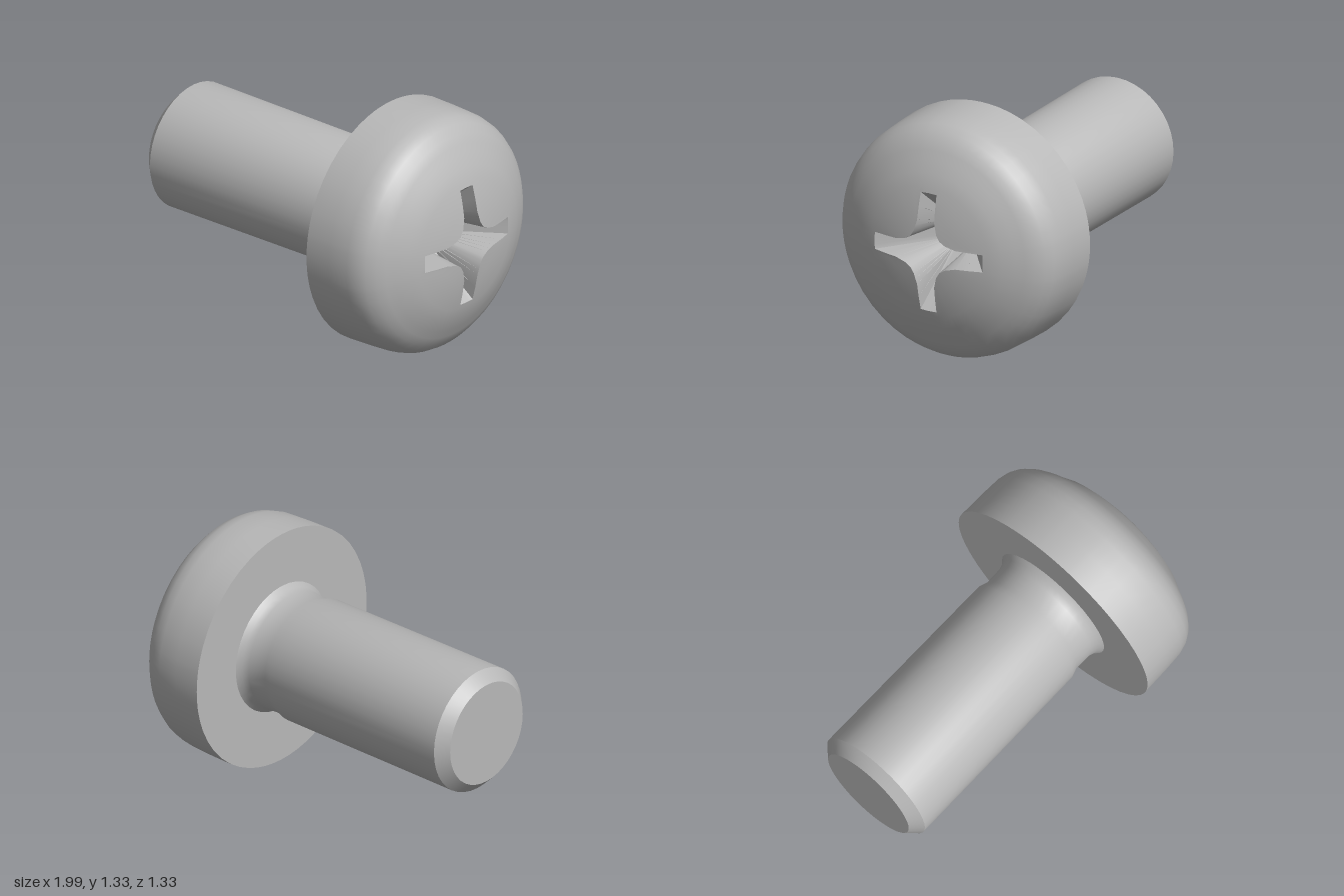
import * as THREE from 'three';
import { toCreasedNormals } from 'three/addons/utils/BufferGeometryUtils.js';

const AXIS_Y = 0.667;
const CREASE = 0.5;

// Half of one recess arm, tip to inner corner: [rim u, rim v, floor u, floor v]
const ARM = [
  [0.33, 0, 0.08, 0],
  [0.328, 0.048, 0.08, 0.036],
  [0.18, 0.052, 0.078, 0.043],
  [0.12, 0.068, 0.073, 0.052],
  [0.088, 0.088, 0.06, 0.06],
];

// Full cross outline: mirror each half arm, turn it four times, halve the edges
function crossOutline() {
  const mirrored = ARM.slice(1).reverse().map(([a, b, c, d]) => [a, -b, c, -d]);
  const arm = [...mirrored, ...ARM.slice(0, -1)];
  const corners = [];
  for (let k = 0; k < 4; k++) {
    const c = Math.round(Math.cos(k * Math.PI / 2)), s = Math.round(Math.sin(k * Math.PI / 2));
    for (const [a, b, e, f] of arm) corners.push([a * c - b * s, a * s + b * c, e * c - f * s, e * s + f * c]);
  }
  return corners.flatMap((p, i) => {
    const q = corners[(i + 1) % corners.length];
    return [p, p.map((v, j) => (v + q[j]) / 2)];
  });
}

// Skin between consecutive loops of [x, y, z] points
function loft(loops) {
  const n = loops[0].length;
  const index = [];
  for (let j = 0; j < loops.length - 1; j++) {
    for (let i = 0; i < n; i++) {
      const a = j * n + i, b = j * n + (i + 1) % n;
      index.push(a, b, b + n);
      if (j < loops.length - 2) index.push(a, b + n, a + n);
    }
  }
  const g = new THREE.BufferGeometry();
  g.setAttribute('position', new THREE.Float32BufferAttribute(loops.flat(2), 3));
  g.setIndex(index);
  return toCreasedNormals(g, CREASE);
}

function headGeometry() {
  const outline = crossOutline();
  const dome = (r) => 1 - 0.41 * r * r;
  const ring = (x, r) => outline.map(([u, v]) => {
    const l = Math.hypot(u, v);
    return [x, u / l * r, v / l * r];
  });

  // Flat underside, side wall and rounded shoulder
  const loops = [
    [0.43, 0.3], [0.43, 0.667], [0.58, 0.664], [0.7, 0.658], [0.755, 0.645],
    [0.8, 0.62], [0.84, 0.579], [0.868, 0.535], [0.89, 0.49],
  ].map(([x, r]) => ring(x, r));

  // Shallow dome, blending from a circle to the cross rim
  loops.push(ring(dome(0.43), 0.43));
  for (const t of [0, 0.33, 0.67, 1]) {
    loops.push(outline.map(([u, v]) => {
      const l = Math.hypot(u, v);
      const r = 0.36 + (l - 0.36) * t;
      return [dome(r), u / l * r, v / l * r];
    }));
  }

  // Recess walls sloping down to a small floor
  loops.push(outline.map(([, , e, f]) => [0.64, e, f]));
  loops.push(outline.map(() => [0.62, 0, 0]));
  return loft(loops);
}

// Shank with chamfered tip, narrowed neck and fillet under the head
function shankGeometry() {
  const profile = [
    [0, -1], [0.285, -1], [0.345, -0.94], [0.34, 0.21], [0.324, 0.26],
    [0.326, 0.37], [0.338, 0.405], [0.362, 0.432],
  ].map(([r, x]) => new THREE.Vector2(r, x));
  const g = new THREE.LatheGeometry(profile, 40);
  g.rotateZ(-Math.PI / 2);
  return toCreasedNormals(g, CREASE);
}

export function createModel() {
  const steel = new THREE.MeshStandardMaterial({ color: 0xb8b8b8 });
  steel.name = 'steel grey';

  const group = new THREE.Group();
  group.name = 'screw';
  const parts = { head: headGeometry(), shank: shankGeometry() };
  for (const [name, geometry] of Object.entries(parts)) {
    const mesh = new THREE.Mesh(geometry, steel);
    mesh.name = name;
    mesh.position.y = AXIS_Y;
    group.add(mesh);
  }
  return group;
}
